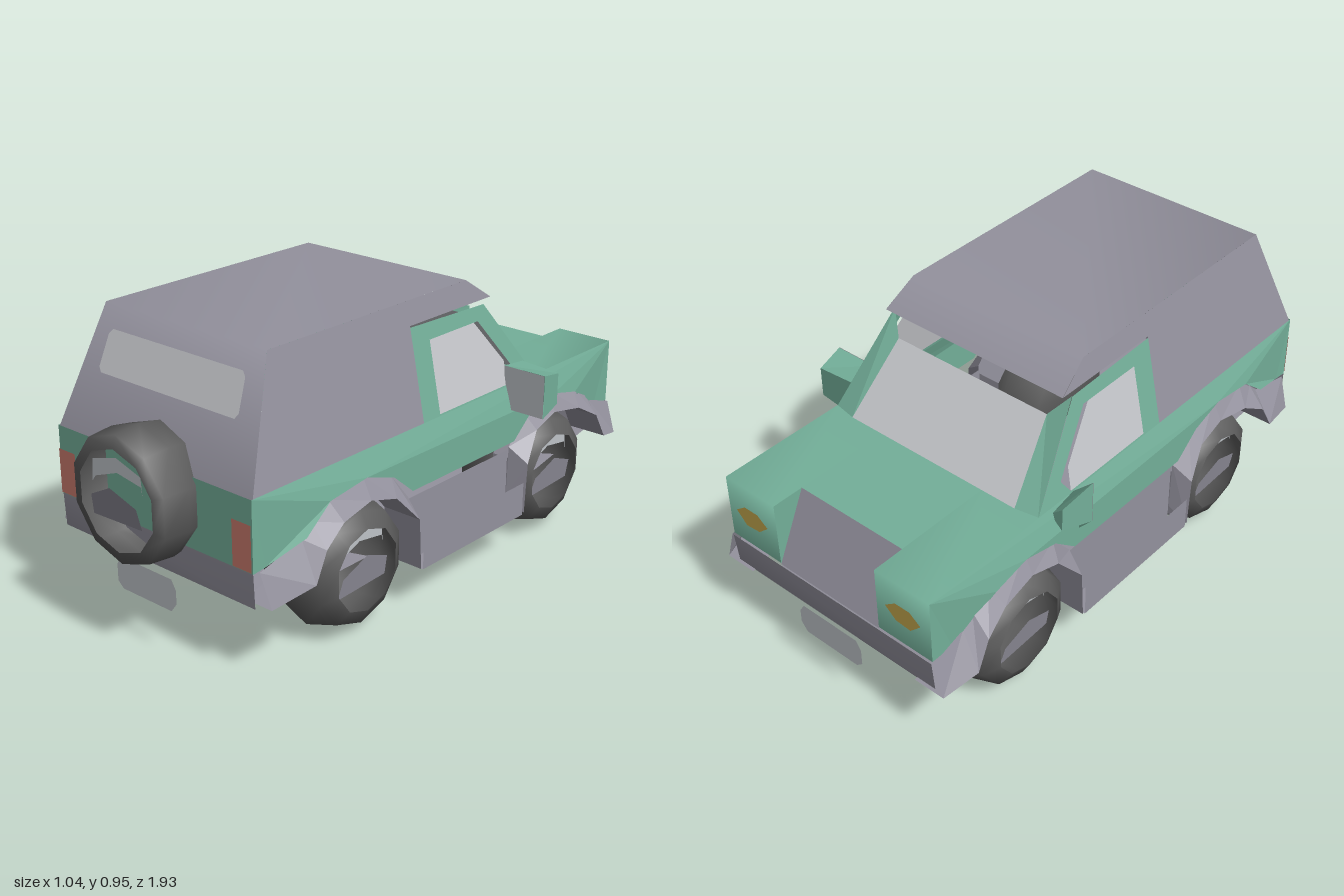
import * as THREE from 'three';

const material = (name, color) => {
  const m = new THREE.MeshStandardMaterial({ color, side: THREE.DoubleSide });
  m.name = name;
  return m;
};

export function createModel() {
  const green = material('green paint', 0x74b09a);
  const grey = material('grey plastic', 0x94929e);
  const rubber = material('rubber', 0x5c5c5c);
  const glass = material('glass', 0xc8cace);
  const silver = material('silver', 0xbec3c8);
  const red = material('tail lamp red', 0xca7b6e);
  const amber = material('amber', 0xc4a84e);

  const model = new THREE.Group();
  model.name = 'offRoader';
  const car = new THREE.Group();
  car.name = 'car';
  car.position.x = -0.0375;
  model.add(car);

  const add = (name, geometry, mat, parent = car) => {
    const mesh = new THREE.Mesh(geometry, mat);
    mesh.name = name;
    parent.add(mesh);
    return mesh;
  };
  const both = (fn) => [1, -1].forEach((s) => fn(s, s > 0 ? 'left' : 'right'));
  const meshFrom = (points, index, smooth = false) => {
    const g = new THREE.BufferGeometry();
    g.setAttribute('position', new THREE.Float32BufferAttribute(points.flat(), 3));
    g.setIndex(index);
    const result = smooth ? g : g.toNonIndexed();
    result.computeVertexNormals();
    return result;
  };
  // Strip of quads between two point rows
  const ribbon = (name, a, b, mat, flip, smooth) => {
    const index = [];
    for (let i = 0; i < a.length - 1; i++) {
      const k = 2 * i;
      index.push(k, k + 2, k + 3, k, k + 3, k + 1);
    }
    if (flip) index.reverse();
    return add(name, meshFrom(a.flatMap((p, i) => [p, b[i]]), index, smooth), mat);
  };
  // Smooth sheet through rows [x0, x1, y, z]
  const sheet = (name, rows, mat) =>
    ribbon(name, rows.map(([x, , y, z]) => [x, y, z]), rows.map(([, x, y, z]) => [x, y, z]), mat, false, true);
  const symmetricSheet = (name, rows, mat) => sheet(name, rows.map(([w, y, z]) => [-w, w, y, z]), mat);
  // Convex panel, mirrored in x when s is -1
  const panel = (name, points, mat, s = 1) => {
    const p = points.map(([x, y, z]) => [x * s, y, z]);
    if (s < 0) p.reverse();
    const index = [];
    for (let i = 1; i < p.length - 1; i++) index.push(0, i, i + 1);
    return add(name, meshFrom(p, index), mat);
  };
  // Panel symmetric in x, from a top and a bottom edge [half width, y, z]
  const band = (name, [a, ya, za], [b, yb, zb], mat, facing = 1) =>
    panel(name, [[-a * facing, ya, za], [-b * facing, yb, zb], [b * facing, yb, zb], [a * facing, ya, za]], mat);
  // Side sheet from a [z, y] outline, bent to a half width given by y
  const sideSheet = (name, outline, width, mat, s, hole) => {
    const vec = ([z, y]) => new THREE.Vector2(-z, y);
    const shape = new THREE.Shape(outline.map(vec));
    if (hole) shape.holes.push(new THREE.Path(hole.map(vec)));
    const g = new THREE.ShapeGeometry(shape);
    const p = g.attributes.position;
    const pts = [];
    for (let i = 0; i < p.count; i++) pts.push([s * width(p.getY(i)), p.getY(i), -p.getX(i)]);
    const index = Array.from(g.index.array);
    if (s < 0) index.reverse();
    return add(name, meshFrom(pts, index), mat);
  };
  const flatShape = (points) => new THREE.ShapeGeometry(new THREE.Shape(points.map(([x, y]) => new THREE.Vector2(x, y))));

  const cabinWidth = (y) => 0.41 - (y - 0.58) * 0.205;
  const bodyWidth = (y) => (y > 0.38 && y < 0.53 ? 0.435 : 0.41);

  // Lower body, cab sides and canopy sides
  const bodyOutline = [[0.85, 0.585], [0.85, 0.36], [0.80, 0.365], [0.66, 0.41], [0.56, 0.49], [0.40, 0.51],
    [0.28, 0.47], [0.19, 0.395], [-0.33, 0.395], [-0.42, 0.47], [-0.55, 0.50], [-0.68, 0.47],
    [-0.80, 0.38], [-0.84, 0.365], [-0.92, 0.365], [-0.92, 0.585]];
  const canopyOutline = [[0.845, 0.58], [0.70, 0.955], [-0.18, 0.955], [-0.29, 0.88], [0.11, 0.88], [0.11, 0.58]];
  const cabOutline = [[0.11, 0.58], [0.11, 0.875], [-0.25, 0.865], [-0.47, 0.58]];
  const cabOpening = [[0.03, 0.59], [0.03, 0.82], [-0.21, 0.82], [-0.355, 0.64], [-0.32, 0.59]];
  const sideGlass = [[0.03, 0.59], [0.03, 0.82], [-0.19, 0.82], [-0.315, 0.67], [-0.32, 0.59]];
  both((s, side) => {
    sideSheet(side + 'BodySide', bodyOutline, bodyWidth, green, s);
    sideSheet(side + 'CanopySide', canopyOutline, cabinWidth, grey, s);
    sideSheet(side + 'CabFrame', cabOutline, cabinWidth, green, s, cabOpening);
    sideSheet(side + 'SideWindow', sideGlass, cabinWidth, glass, s);
    panel(side + 'WindscreenPillar', [[0.35, 0.865, -0.25], [0.41, 0.58, -0.47], [0.33, 0.585, -0.48], [0.295, 0.80, -0.295]], green, s);
  });

  // Canopy shell, windscreen and rear window
  symmetricSheet('canopyShell', [[0.348, 0.88, -0.29], [0.333, 0.955, -0.18], [0.333, 0.955, 0.70], [0.41, 0.58, 0.845]], grey);
  band('windscreen', [0.295, 0.80, -0.295], [0.33, 0.585, -0.48], glass, -1);
  const rearZ = (y) => 0.851 - (y - 0.58) * 0.387;
  panel('rearWindow', [[-0.27, 0.89], [-0.284, 0.875], [-0.292, 0.78], [-0.28, 0.765], [0.28, 0.765], [0.292, 0.78],
    [0.284, 0.875], [0.27, 0.89]].map(([x, y]) => [x, y, rearZ(y)]), glass);

  // Tailgate, hood, grille and fender noses
  band('tailgate', [0.41, 0.585, 0.85], [0.41, 0.36, 0.85], green);
  band('hood', [0.203, 0.585, -0.81], [0.203, 0.585, -0.42], green);
  band('grille', [0.203, 0.585, -0.81], [0.203, 0.36, -0.92], grey, -1);
  both((s, side) => {
    const [x0, x1] = s > 0 ? [0.203, 0.41] : [-0.41, -0.203];
    sheet(side + 'Fender', [[x0, x1, 0.365, -0.92], [x0, x1, 0.585, -0.92], [x0, x1, 0.585, -0.42]], green);
    panel(side + 'FenderInner', [[0.203, 0.585, -0.92], [0.203, 0.365, -0.92], [0.203, 0.365, -0.81], [0.203, 0.585, -0.81]], green, s);
    panel(side + 'Headlight', [[0.375, 0.48], [0.335, 0.44], [0.28, 0.445], [0.24, 0.48], [0.28, 0.51], [0.335, 0.51]]
      .map(([x, y]) => [x, y, -0.924]), amber, s);
    panel(side + 'TailLamp', [[0.335, 0.51], [0.335, 0.365], [0.409, 0.365], [0.409, 0.51]]
      .map(([x, y]) => [x, y, 0.855]), red, s);
  });

  // Bumpers and underside as one smooth sheet
  symmetricSheet('bumpersAndUnderside', [[0.41, 0.36, 0.85], [0.41, 0.25, 0.845], [0.35, 0.249, 0.84], [0.29, 0.14, 0.60],
    [0.29, 0.14, -0.68], [0.35, 0.249, -0.91], [0.41, 0.25, -0.915], [0.41, 0.36, -0.925]], grey);

  // Sills and steps
  both((s, side) => {
    const wall = (name, x, y0, y1) =>
      panel(side + name, [[x, y1, 0.19], [x, y0, 0.19], [x, y0, -0.33], [x, y1, -0.33]], grey, s);
    wall('Sill', 0.41, 0.145, 0.358);
    wall('Step', 0.48, 0.145, 0.26);
    panel(side + 'StepUnderside', [[0.48, 0.145, 0.19], [0.28, 0.142, 0.19], [0.28, 0.142, -0.33], [0.48, 0.145, -0.33]], grey, s);
  });

  // Wheel arch flares with an inner lip: [z, y] curves, the lower one with its half width
  const upper = [[0.83, 0.36], [0.66, 0.40], [0.55, 0.485], [0.40, 0.51], [0.27, 0.465], [0.19, 0.37], [0.185, 0.2]];
  const lower = [[0.82, 0.25, 0.45], [0.67, 0.28, 0.48], [0.62, 0.37, 0.475], [0.53, 0.42, 0.46], [0.40, 0.44, 0.45],
    [0.29, 0.41, 0.455], [0.21, 0.32, 0.48], [0.20, 0.15, 0.48]];
  upper.splice(2, 0, [0.62, 0.44]);
  const flare = (name, top, low, s) => {
    const inner = top.map(([z, y]) => [s * 0.415, y, z]);
    const outer = low.map(([z, y, w]) => [s * w, y, z]);
    ribbon(name, inner, outer, grey, s > 0);
    ribbon(name + 'Lip', outer, low.map(([z, y]) => [s * 0.34, y, z]), grey, s > 0);
  };
  const toFront = (curve) => curve.map(([z, y, w]) => [Math.max(-0.14 - z, -0.925), y, w]).reverse();
  both((s, side) => {
    flare(side + 'RearFlare', upper, lower, s);
    flare(side + 'FrontFlare', toFront(upper), toFront(lower), s);
  });

  // Number plates
  const plate = flatShape([[-0.128, 0.17], [-0.105, 0.15], [0.105, 0.15], [0.128, 0.18], [0.128, 0.225], [0.11, 0.255],
    [-0.11, 0.255], [-0.128, 0.225]]);
  add('rearPlate', plate, silver).position.z = 0.885;
  add('frontPlate', plate, silver).position.z = -0.93;

  // Door mirrors: silver face to the rear, green housing tapering forward
  const mirrorAt = (name, s, face, tip) => {
    panel(name + 'Face', face.map(([x, y]) => [x, y, -0.31]), silver, s);
    face.forEach(([x, y], i) => {
      const j = (i + 1) % face.length;
      panel(name + 'Housing' + i, [[face[j][0], face[j][1], -0.312], [x, y, -0.312], [...tip[i], -0.41], [...tip[j], -0.41]], green, s);
    });
    panel(name + 'HousingFront', tip.map(([x, y]) => [x, y, -0.41]).reverse(), green, s);
  };
  mirrorAt('leftMirror', 1, [[0.40, 0.655], [0.40, 0.51], [0.555, 0.51], [0.555, 0.655]],
    [[0.40, 0.645], [0.40, 0.51], [0.54, 0.53], [0.54, 0.635]]);
  mirrorAt('rightMirror', -1, [[0.405, 0.58], [0.482, 0.51], [0.482, 0.655]],
    [[0.405, 0.56], [0.45, 0.52], [0.45, 0.60]]);
  panel('rightMirrorMount', [[0.405, 0.58, -0.312], [0.42, 0.44, -0.312], [0.482, 0.51, -0.312]], green, -1);

  // Wheels: tyre shell from a [radius, depth] profile, with a two-piece hub
  const hubArch = flatShape([[-0.11, 0.03], [-0.105, 0.10], [0, 0.13], [0.10, 0.10], [0.105, 0.04], [0.10, 0.07],
    [0, 0.085], [-0.095, 0.05]]);
  const hubPlate = flatShape([[-0.105, -0.07], [0.105, -0.06], [0.10, 0.01], [0, 0.05], [-0.095, 0]]).rotateX(0.2);
  const wheel = (name, profile, archZ, plateZ) => {
    const g = new THREE.Group();
    g.name = name;
    const pts = profile.map(([r, h]) => new THREE.Vector2(r, h));
    add('tyre', new THREE.LatheGeometry(pts, 10).rotateX(Math.PI / 2), rubber, g);
    add('hubArch', hubArch, silver, g).position.z = archZ;
    add('hubPlate', hubPlate, grey, g).position.z = plateZ;
    car.add(g);
    return g;
  };
  const roadTyre = [[0, -0.13], [0.18, -0.13], [0.218, 0], [0.185, 0.105], [0.135, 0.132]];
  both((s, side) => [['Rear', 0.415], ['Front', -0.555]].forEach(([end, z]) => {
    const w = wheel(side + end + 'Wheel', roadTyre, 0.1, 0.12);
    w.position.set(s * 0.318, 0.219, z);
    w.rotation.y = s * Math.PI / 2;
  }));
  const spareTyre = [[0.16, -0.09], [0.195, -0.08], [0.208, 0], [0.2, 0.09], [0.16, 0.1]];
  wheel('spareWheel', spareTyre, 0.09, 0.11).position.set(0, 0.5, 0.88);

  return model;
}
